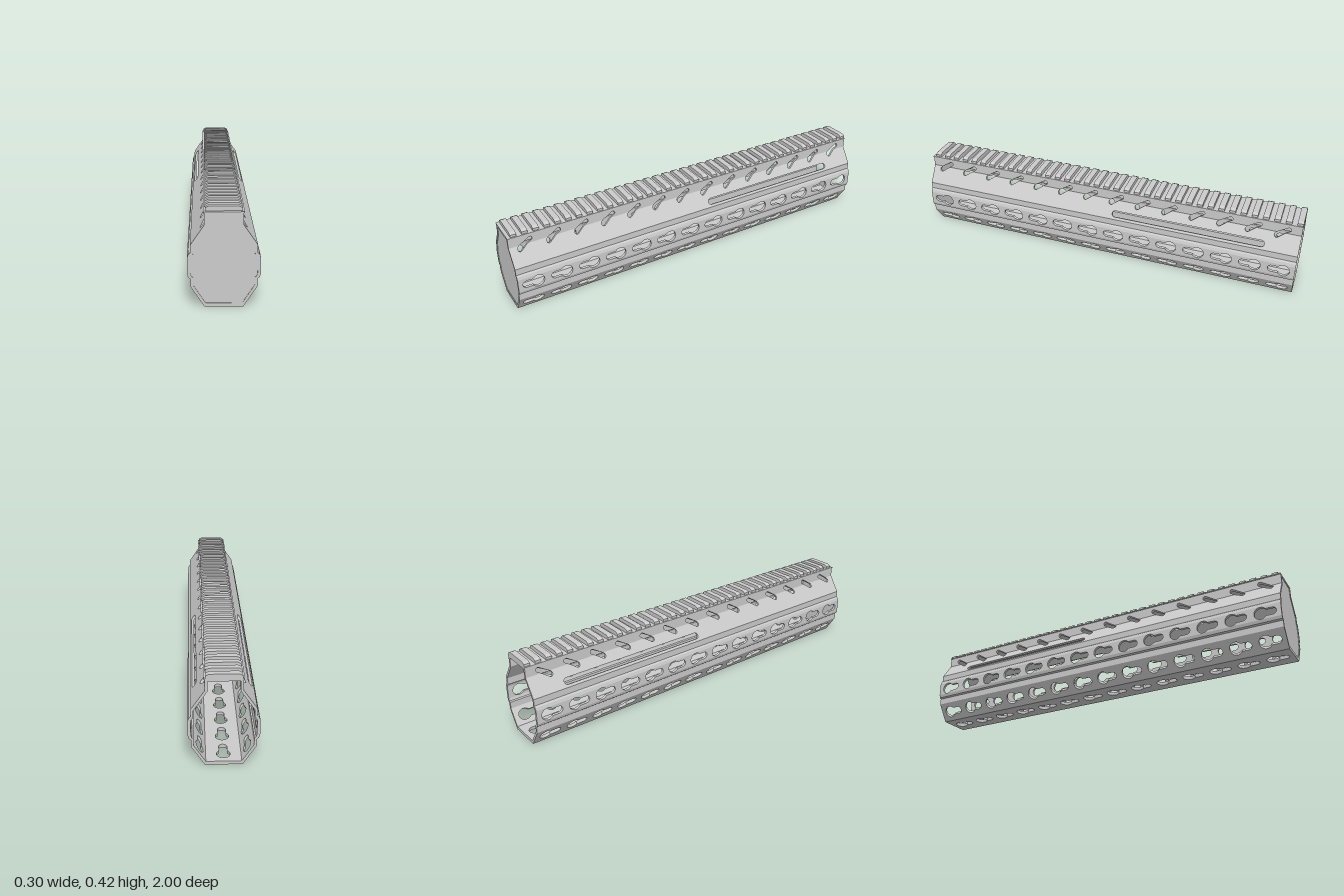
import * as THREE from 'three';

const material = new THREE.MeshStandardMaterial({ color: 0xcccccc, flatShading: true });
const V = (x, y) => new THREE.Vector2(x, y);

// Right half of the tube's cross-section, bottom to top: outer and inner skins
const OUTER = [[0.079, 0], [0.136, 0.088], [0.136, 0.12], [0.144, 0.126], [0.149, 0.141],
  [0.149, 0.208], [0.144, 0.223], [0.136, 0.23], [0.136, 0.2625], [0.079, 0.346], [0.079, 0.397]];
const INNER = [[0.075, 0.016], [0.125, 0.093], [0.125, 0.126], [0.132, 0.13], [0.136, 0.143],
  [0.136, 0.206], [0.132, 0.218], [0.125, 0.223], [0.125, 0.257], [0.067, 0.343], [0.067, 0.388]];
const mirror = ([x, y]) => [-x, y];
const lerp = THREE.MathUtils.lerp;

// Mitred wall panel: outline points are (z, t), t running 0..1 from corner a to corner b
function panel(name, a, b, ia, ib, side, outline, holes = []) {
  const shape = new THREE.Shape(outline);
  shape.holes = holes.map((pts) => new THREE.Path(pts));
  const flat = new THREE.ExtrudeGeometry(shape, { depth: 1, bevelEnabled: false });
  const p = flat.attributes.position;
  const out = [];
  for (let i = 0; i < p.count; i += 3) {
    const tri = side > 0 ? [i, i + 1, i + 2] : [i, i + 2, i + 1];
    // Skip the hidden joints between neighbouring panels
    if ([0, 1].some((e) => tri.every((k) => Math.abs(p.getY(k) - e) < 1e-5))) continue;
    for (const k of tri) {
      const t = p.getY(k), w = p.getZ(k);
      const x = lerp(lerp(a[0], b[0], t), lerp(ia[0], ib[0], t), w);
      const y = lerp(lerp(a[1], b[1], t), lerp(ia[1], ib[1], t), w);
      out.push(side * x, y, p.getX(k));
    }
  }
  const geo = new THREE.BufferGeometry();
  geo.setAttribute('position', new THREE.Float32BufferAttribute(out, 3));
  geo.computeVertexNormals();
  const mesh = new THREE.Mesh(geo, material);
  mesh.name = name;
  return mesh;
}

const RECT = [V(-1, 0), V(1, 0), V(1, 1), V(-1, 1)];
const COUNT = 14;

// Row of keyholes centred across a panel of the given width
function keyholes(width) {
  const R = 0.031, r = 0.0185, a = Math.asin(r / R);
  return Array.from({ length: COUNT }, (_, i) => {
    const z = 0.902 - i * 0.142;
    const path = new THREE.Path();
    path.absarc(z, 0, R, a, Math.PI * 2 - a, false);
    path.absarc(z + 0.057, 0, r, -Math.PI / 2, Math.PI / 2, false);
    return path.getPoints(10).map((q) => V(q.x, 0.5 + q.y / width));
  });
}

// Long slot with rounded ends
function longSlot() {
  const path = new THREE.Path();
  path.absarc(-0.071, 0, 0.016, -Math.PI / 2, Math.PI / 2, false);
  path.absarc(-0.819, 0, 0.016, Math.PI / 2, Math.PI * 1.5, false);
  return path.getPoints(8).map((q) => V(q.x, 0.29 + q.y / 0.101));
}

// Half of a diagonal vent, cut at the bend between the shoulder and the neck
const BEND = 0.346;
function ventHalf(i, upper, y0, y1) {
  const dz = -0.055, low = 0.333, dy = 0.035, r = 0.011;
  const zl = 0.95 - i * 0.141;
  const mid = zl + ((BEND - low) / dy) * dz;
  const half = r * Math.hypot(dz, dy) / dy;
  const start = Math.atan2(-dz, dy) + (upper ? Math.PI : 0);
  const t = (y) => (y - y0) / (y1 - y0);
  const pts = [V(mid + (upper ? -half : half), t(BEND))];
  for (let k = 0; k <= 8; k++) {
    const ang = start - (k / 8) * Math.PI;
    pts.push(V(zl + (upper ? dz : 0) + r * Math.cos(ang),
      t(low + (upper ? dy : 0) + r * Math.sin(ang))));
  }
  pts.push(V(mid + (upper ? half : -half), t(BEND)));
  return pts;
}

export function createModel() {
  const model = new THREE.Group();
  model.name = 'railedHandguard';
  const last = OUTER.length - 1;
  const indices = Array.from({ length: COUNT }, (_, i) => i);

  // Side walls, mirrored left and right
  const shoulder = [V(-1, 0), V(1, 0), V(1, 1),
    ...indices.flatMap((i) => ventHalf(i, false, 0.2625, BEND)), V(-1, 1)];
  const neck = [V(-1, 0),
    ...indices.slice().reverse().flatMap((i) => ventHalf(i, true, BEND, 0.397)),
    V(1, 0), V(1, 1), V(-1, 1)];
  const special = {
    0: ['lowerPanel', RECT, keyholes(0.105)],
    4: ['sidePanel', RECT, keyholes(0.067)],
    8: ['shoulderPanel', shoulder, [longSlot()]],
    9: ['neckPanel', neck, []],
  };
  for (const side of [1, -1]) {
    const wall = new THREE.Group();
    wall.name = side > 0 ? 'leftWall' : 'rightWall';
    for (let i = 0; i < last; i++) {
      const [name, outline, holes] = special[i] || ['wallStrip', RECT, []];
      wall.add(panel(name, OUTER[i], OUTER[i + 1], INNER[i], INNER[i + 1], side, outline, holes));
    }
    model.add(wall);
  }

  // Floor with keyholes, and roof
  model.add(panel('floorPanel', mirror(OUTER[0]), OUTER[0], mirror(INNER[0]), INNER[0], 1,
    RECT, keyholes(0.158)));
  model.add(panel('roofPanel', OUTER[last], mirror(OUTER[last]), INNER[last], mirror(INNER[last]), 1, RECT));

  // Plate closing the front end, set just inside the rim
  const ring = [...INNER, ...INNER.map(mirror).reverse()].map(([x, y]) => V(x, y));
  const capGeo = new THREE.ExtrudeGeometry(new THREE.Shape(ring), { depth: 0.012, bevelEnabled: false });
  const cap = new THREE.Mesh(capGeo.translate(0, 0, 0.985), material);
  cap.name = 'frontPlate';
  model.add(cap);

  // Rail base lip and its row of chamfered teeth
  const base = new THREE.Mesh(new THREE.BoxGeometry(0.166, 0.005, 2), material);
  base.name = 'railBase';
  base.position.y = 0.3975;
  model.add(base);

  const tooth = new THREE.Shape([V(-0.076, 0.399), V(0.076, 0.399), V(0.076, 0.412),
    V(0.06, 0.42), V(-0.06, 0.42), V(-0.076, 0.412)]);
  const toothGeo = new THREE.ExtrudeGeometry(tooth, { depth: 0.029, bevelEnabled: false });
  const rail = new THREE.Group();
  rail.name = 'topRail';
  for (let i = 0; i < 37; i++) {
    const mesh = new THREE.Mesh(toothGeo, material);
    mesh.name = 'railTooth';
    mesh.position.z = -1 + i * 0.0543;
    rail.add(mesh);
  }
  model.add(rail);
  return model;
}
